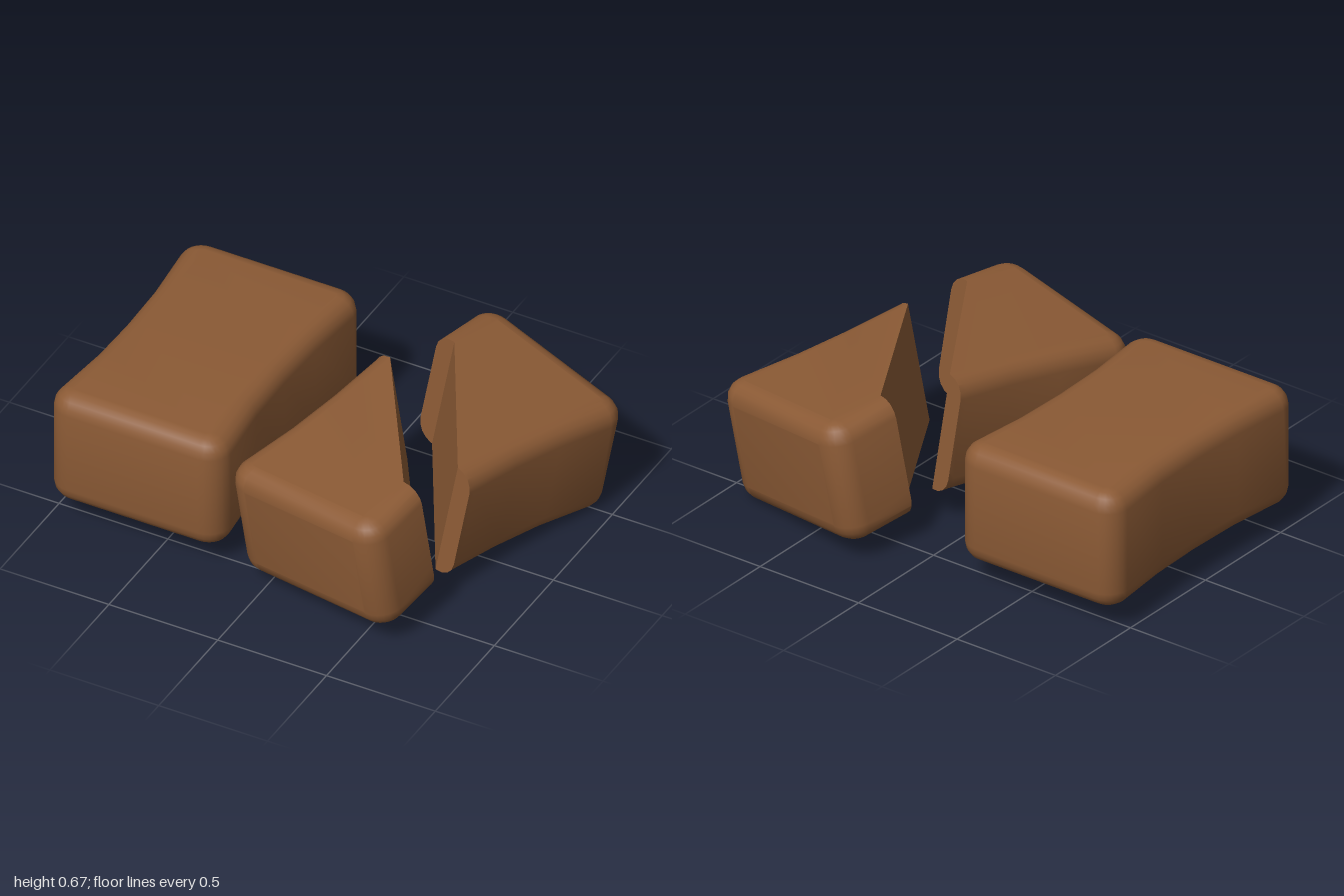
import * as THREE from 'three';
import { toCreasedNormals } from 'three/addons/utils/BufferGeometryUtils.js';

const CREASE = THREE.MathUtils.degToRad(35);
const WIDTH = 0.4, LENGTH = 0.62, HEIGHT = 0.53, BEVEL = 0.08;

// Rounded block with a slightly pinched waist
function blockGeometry() {
  const r = 0.1, s = new THREE.Shape();
  s.moveTo(WIDTH, -LENGTH + r);
  for (const [x, y] of [[0.372, -0.25], [0.365, 0], [0.372, 0.25], [WIDTH, LENGTH - r]]) s.lineTo(x, y);
  s.absarc(WIDTH - r, LENGTH - r, r, 0, Math.PI / 2);
  s.lineTo(-WIDTH + r, LENGTH);
  s.absarc(-WIDTH + r, LENGTH - r, r, Math.PI / 2, Math.PI);
  for (const [x, y] of [[-0.372, 0.25], [-0.365, 0], [-0.372, -0.25], [-WIDTH, -LENGTH + r]]) s.lineTo(x, y);
  s.absarc(-WIDTH + r, -LENGTH + r, r, Math.PI, Math.PI * 1.5);
  s.lineTo(WIDTH - r, -LENGTH);
  s.absarc(WIDTH - r, -LENGTH + r, r, Math.PI * 1.5, Math.PI * 2);
  const g = new THREE.ExtrudeGeometry(s, {
    depth: HEIGHT - 2 * BEVEL, curveSegments: 3, bevelEnabled: true,
    bevelThickness: BEVEL, bevelSize: BEVEL, bevelOffset: -BEVEL, bevelSegments: 4,
  });
  g.translate(0, 0, -(HEIGHT - 2 * BEVEL) / 2);
  g.rotateX(-Math.PI / 2);
  return g;
}

// Keep the part of the polygons where n.p <= d, optionally closing the cut
function clip(polys, n, d, capped = false) {
  const out = [], rim = [];
  for (const poly of polys) {
    const kept = [];
    poly.forEach((p, i) => {
      const q = poly[(i + 1) % poly.length];
      const dp = n.dot(p) - d, dq = n.dot(q) - d;
      if (dp <= 0) kept.push(p);
      if ((dp <= 0) !== (dq <= 0)) {
        const m = p.clone().lerp(q, dp / (dp - dq));
        kept.push(m);
        rim.push(m);
      }
    });
    if (kept.length > 2) out.push(kept);
  }
  if (capped && rim.length > 2) {
    const c = rim.reduce((a, p) => a.add(p), new THREE.Vector3()).divideScalar(rim.length);
    const u = new THREE.Vector3(0, 1, 0), v = n.clone().cross(u);
    const angle = (p) => Math.atan2(p.clone().sub(c).dot(v), p.clone().sub(c).dot(u));
    rim.sort((a, b) => angle(a) - angle(b));
    rim.forEach((p, i) => out.push([c, p, rim[(i + 1) % rim.length]]));
  }
  return out;
}

// Half block: a diagonal cut with a short straight step at each end
function halfGeometry(block) {
  const pos = (block.index ? block.toNonIndexed() : block).attributes.position;
  const at = (i) => new THREE.Vector3().fromBufferAttribute(pos, i);
  const tris = [];
  for (let i = 0; i < pos.count; i += 3) tris.push([at(i), at(i + 1), at(i + 2)]);

  const a = 0.29, zc = 0.285;
  const right = new THREE.Vector3(1, 0, 0), left = new THREE.Vector3(-1, 0, 0);
  const back = new THREE.Vector3(0, 0, -1);
  const slant = new THREE.Vector3(zc, 0, -a).normalize();
  const polys = [
    ...clip(clip(tris, right, -a), back, zc, true),
    ...clip(clip(clip(tris, right, a), left, a), slant, 0, true),
    ...clip(clip(tris, left, -a), back, -zc, true),
  ];

  const points = [];
  const tri = new THREE.Triangle();
  for (const p of polys) {
    for (let i = 1; i < p.length - 1; i++) {
      tri.set(p[0], p[i], p[i + 1]);
      if (tri.getArea() > 1e-8) points.push(p[0], p[i], p[i + 1]);
    }
  }
  return new THREE.BufferGeometry().setFromPoints(points);
}

// Place a mesh by its centre, its up direction and its heading
function place(mesh, centre, up, yaw) {
  const y = new THREE.Vector3(...up).normalize();
  const x = new THREE.Vector3(Math.cos(yaw), 0, -Math.sin(yaw));
  x.addScaledVector(y, -x.dot(y)).normalize();
  const z = x.clone().cross(y);
  mesh.quaternion.setFromRotationMatrix(new THREE.Matrix4().makeBasis(x, y, z));
  mesh.position.set(...centre);
}

export function createModel() {
  const group = new THREE.Group();
  const brown = new THREE.MeshStandardMaterial({ color: 0x8b5a35 });
  brown.name = 'brown';
  const block = blockGeometry();
  const half = toCreasedNormals(halfGeometry(block), CREASE);

  const add = (name, geometry, centre, up, yawDegrees) => {
    const mesh = new THREE.Mesh(geometry, brown);
    mesh.name = name;
    place(mesh, centre, up, THREE.MathUtils.degToRad(yawDegrees));
    group.add(mesh);
  };
  add('wholeBlock', toCreasedNormals(block, CREASE), [-0.6, 0.375, 0], [0, 1, 0], 0);
  add('frontHalf', half, [0.375, 0.405, 0.1], [-0.1, 0.99, 0.09], -13);
  add('backHalf', half, [0.444, 0.367, -0.107], [0.16, 0.98, -0.06], 180 - 15.5);
  return group;
}
